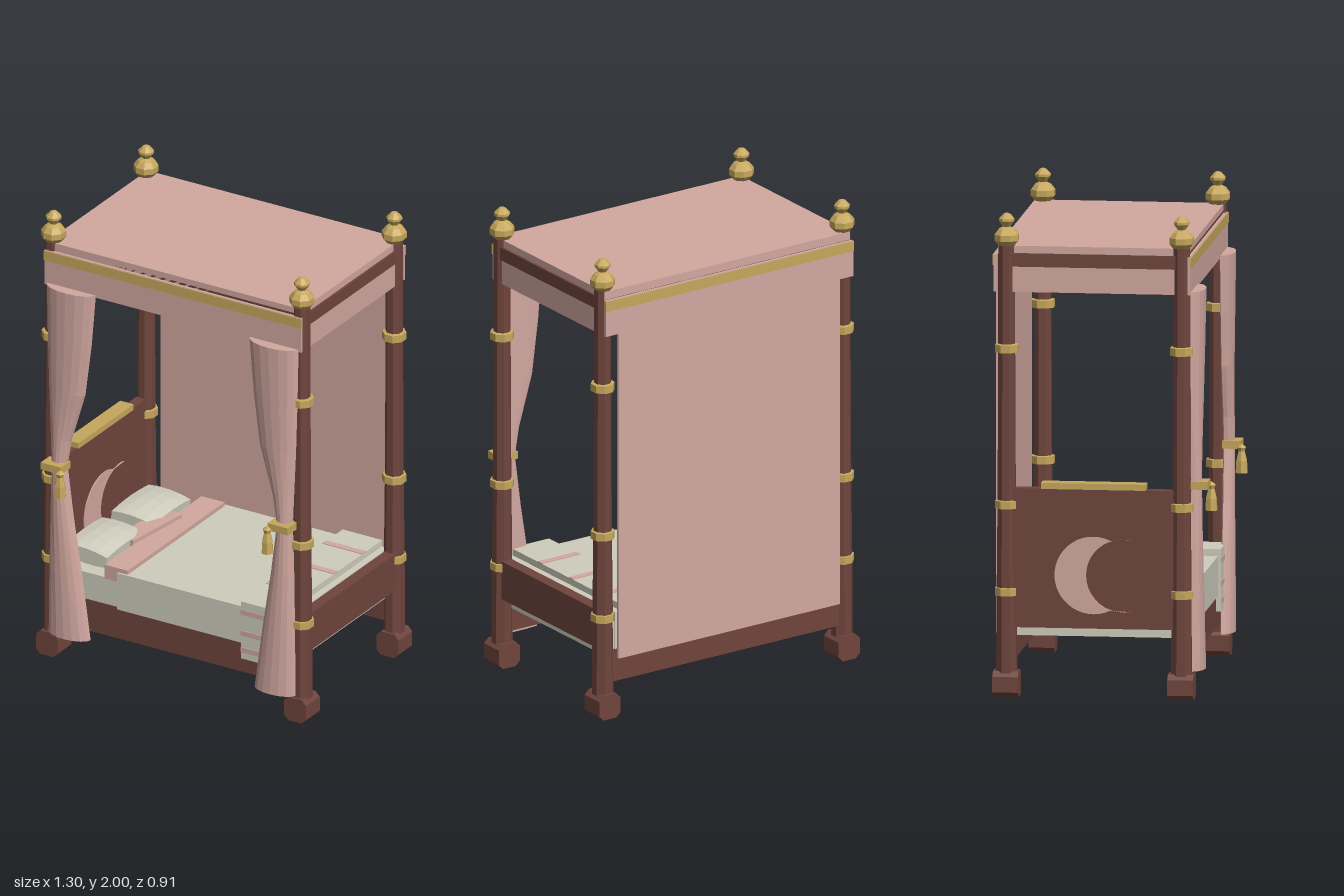
import * as THREE from 'three';

const mat = (name, color) => Object.assign(new THREE.MeshStandardMaterial({ color }), { name });

export function createModel() {
  const pink = mat('rose fabric', 0xd2a8a0);
  const wood = mat('dark wood', 0x6f453d);
  const gold = mat('brass', 0xc6a75c);
  const cream = mat('cream linen', 0xcfcdbd);
  const model = new THREE.Group();
  model.name = 'canopyBed';

  // faceted mesh
  function add(name, geometry, material, parent = model) {
    const g = geometry.index ? geometry.toNonIndexed() : geometry;
    g.computeVertexNormals();
    const mesh = new THREE.Mesh(g, material);
    mesh.name = name;
    parent.add(mesh);
    return mesh;
  }
  // box from its low and high limits on each axis
  function box(name, material, [x0, x1], [y0, y1], [z0, z1], parent = model) {
    const g = new THREE.BoxGeometry(x1 - x0, y1 - y0, z1 - z0);
    g.translate((x0 + x1) / 2, (y0 + y1) / 2, (z0 + z1) / 2);
    return add(name, g, material, parent);
  }
  function lathe(points, sides) {
    const g = new THREE.LatheGeometry(points.map(p => new THREE.Vector2(...p)), sides);
    return g.rotateY(Math.PI / sides);
  }

  // corner posts with chamfered feet, brass rings and finials
  const c = 0.053, k = 0.032;
  const footShape = new THREE.Shape([[-k, -c], [k, -c], [c, -k], [c, k], [k, c], [-k, c], [-c, k], [-c, -k]]
    .map(p => new THREE.Vector2(...p)));
  for (const x of [-0.595, 0.595]) for (const z of [-0.4, 0.32]) {
    const post = new THREE.Group();
    post.name = 'post';
    post.position.set(x, 0, z);
    model.add(post);
    const foot = new THREE.ExtrudeGeometry(footShape, { depth: 2 * c, bevelEnabled: false });
    add('foot', foot.translate(0, 0.055, -c), wood, post);
    add('postShaft', lathe([[0.045, 0.1], [0.043, 0.43], [0.039, 0.8], [0.036, 1.44], [0.036, 1.87]], 8), wood, post);
    for (const y of [0.435, 0.795, 1.44])
      add('postRing', lathe([[0.03, y - 0.02], [0.05, y - 0.016], [0.05, y + 0.016], [0.03, y + 0.02]], 8), gold, post);
    add('finial', lathe([[0, 1.86], [0.035, 1.865], [0.052, 1.885], [0.052, 1.91], [0.035, 1.932], [0.016, 1.942],
      [0.033, 1.965], [0.033, 1.975], [0.014, 1.995], [0, 2]], 8), gold, post);
  }

  // bed frame
  box('frontRail', wood, [-0.57, 0.57], [0.15, 0.29], [0.29, 0.345]);
  box('backRail', wood, [-0.57, 0.57], [0.15, 0.29], [-0.425, -0.37]);
  box('footboard', wood, [0.57, 0.62], [0.3, 0.465], [-0.37, 0.29]);
  box('headboard', wood, [-0.62, -0.575], [0.29, 0.865], [-0.37, 0.29]);
  box('headboardCap', gold, [-0.63, -0.565], [0.865, 0.89], [-0.255, 0.175]);

  // crescent inlay on both faces of the headboard
  const moon = new THREE.Shape();
  moon.absarc(0, 0, 0.16, Math.PI * 0.36, Math.PI * 1.64, false);
  moon.absarc(0.12, 0, 0.15, Math.PI * 1.57, Math.PI * 0.43, true);
  for (const s of [1, -1]) {
    const g = new THREE.ExtrudeGeometry(moon, { depth: 0.004, bevelEnabled: false, curveSegments: 14 });
    g.rotateY(s * Math.PI / 2);
    add('crescentInlay', g.translate(s > 0 ? -0.575 : -0.62, 0.51, -0.04), pink);
  }

  // canopy, side rails, valances
  box('canopyTop', pink, [-0.61, 0.61], [1.83, 1.865], [-0.435, 0.345]);
  for (const s of [-1, 1]) {
    const sx = (a, b) => (s > 0 ? [a, b] : [-b, -a]);
    box('canopySideRail', wood, sx(0.575, 0.62), [1.78, 1.835], [-0.4, 0.32]);
    box('sideValance', pink, sx(0.6, 0.615), [1.675, 1.78], [-0.4, 0.32]);
  }
  box('canopyFrontRail', wood, [-0.6, 0.6], [1.78, 1.84], [0.3, 0.345]);
  box('canopyBackRail', wood, [-0.6, 0.6], [1.78, 1.84], [-0.43, -0.38]);
  box('frontValance', pink, [-0.615, 0.615], [1.675, 1.83], [0.345, 0.358]);
  box('backValance', pink, [-0.615, 0.615], [1.675, 1.83], [-0.452, -0.438]);
  box('frontValanceTrim', gold, [-0.617, 0.617], [1.785, 1.828], [0.357, 0.362]);
  box('backValanceTrim', gold, [-0.617, 0.617], [1.785, 1.828], [-0.456, -0.451]);
  box('backCurtain', pink, [-0.55, 0.55], [0.255, 1.69], [-0.45, -0.439]);

  // gathered front curtains: lens-shaped sections [y, inner x, outer x, depth]
  const sections = [[0.115, 0.395, 0.592, 0.05], [0.4, 0.435, 0.588, 0.046], [0.65, 0.475, 0.582, 0.042],
    [0.88, 0.505, 0.575, 0.04], [1.0, 0.485, 0.58, 0.04], [1.22, 0.42, 0.59, 0.042], [1.45, 0.39, 0.597, 0.046],
    [1.685, 0.37, 0.602, 0.05]];
  function curtain() {
    const n = 8, pos = [], idx = [], ring = 2 * n;
    for (const [y, a, b, d] of sections) for (let i = 0; i < ring; i++) {
      const t = i / ring * Math.PI * 2, front = Math.sin(t) > 0;
      pos.push((a + b) / 2 + Math.cos(t) * (b - a) / 2, y, 0.357 + Math.sin(t) * (front ? d : 0.008));
    }
    for (let r = 0; r < sections.length - 1; r++) for (let i = 0; i < ring; i++) {
      const p = r * ring + i, q = r * ring + (i + 1) % ring;
      idx.push(p, p + ring, q, q, p + ring, q + ring);
    }
    const top = (sections.length - 1) * ring;
    for (let i = 1; i < ring - 1; i++) idx.push(0, i, i + 1, top, top + i + 1, top + i);
    const g = new THREE.BufferGeometry();
    g.setAttribute('position', new THREE.Float32BufferAttribute(pos, 3));
    // ring runs clockwise seen from above, so each triangle is turned outward
    return g.setIndex(idx);
  }
  for (const s of [-1, 1]) {
    const g = curtain();
    if (s < 0) g.scale(-1, 1, 1);
    const flip = s < 0 ? g.index.array : null;
    if (flip) for (let i = 0; i < flip.length; i += 3) [flip[i], flip[i + 1]] = [flip[i + 1], flip[i]];
    // sections were wound left to right; both curtains are seen from either side
    const mesh = add('frontCurtain', g, pink);
    mesh.userData.side = s;
    const sx = (a, b) => (s > 0 ? [a, b] : [-b, -a]);
    box('tieback', gold, sx(0.495, 0.592), [0.868, 0.9], [0.35, 0.426]);
    const tassel = add('tassel', lathe([[0, 0.77], [0.027, 0.77], [0.024, 0.82], [0.014, 0.86], [0.02, 0.875], [0, 0.89]], 6), gold);
    tassel.position.set(s * 0.497, 0, 0.43);
  }
  pink.side = THREE.DoubleSide;

  // bedding
  box('mattress', cream, [-0.57, 0.57], [0.25, 0.41], [-0.42, 0.342]);
  box('blanket', cream, [-0.27, 0.55], [0.285, 0.45], [-0.425, 0.354]);
  box('blanketFold', pink, [-0.335, -0.225], [0.405, 0.468], [-0.41, 0.345]);
  const bolster = box('bolster', pink, [-0.045, 0.045], [0.41, 0.485], [-0.16, 0.16]);
  bolster.position.set(-0.36, 0, -0.04);
  bolster.rotation.y = -0.12;

  // pillows: boxes that thin out toward the rim
  for (const z of [-0.2, 0.16]) {
    const g = new THREE.BoxGeometry(0.2, 0.1, 0.29, 4, 2, 4), p = g.attributes.position;
    for (let i = 0; i < p.count; i++) {
      const u = p.getX(i) / 0.1, w = p.getZ(i) / 0.145;
      p.setY(i, p.getY(i) * (1 - 0.32 * u * u) * (1 - 0.32 * w * w));
    }
    const pillow = add('pillow', g, cream);
    pillow.position.set(-0.45, 0.462, z);
    pillow.rotation.z = -0.08;
  }

  // throw over the foot of the bed with rose stripes
  box('throwTop', cream, [0.33, 0.52], [0.44, 0.478], [-0.428, 0.365]);
  box('throwDrop', cream, [0.33, 0.52], [0.22, 0.44], [0.345, 0.365]);
  for (const y of [0.25, 0.325, 0.42]) box('throwDropStripe', pink, [0.33, 0.52], [y, y + 0.022], [0.364, 0.368]);
  for (const z of [-0.3, -0.08, 0.14]) box('throwTopStripe', pink, [0.33, 0.52], [0.477, 0.481], [z, z + 0.03]);

  return model;
}
